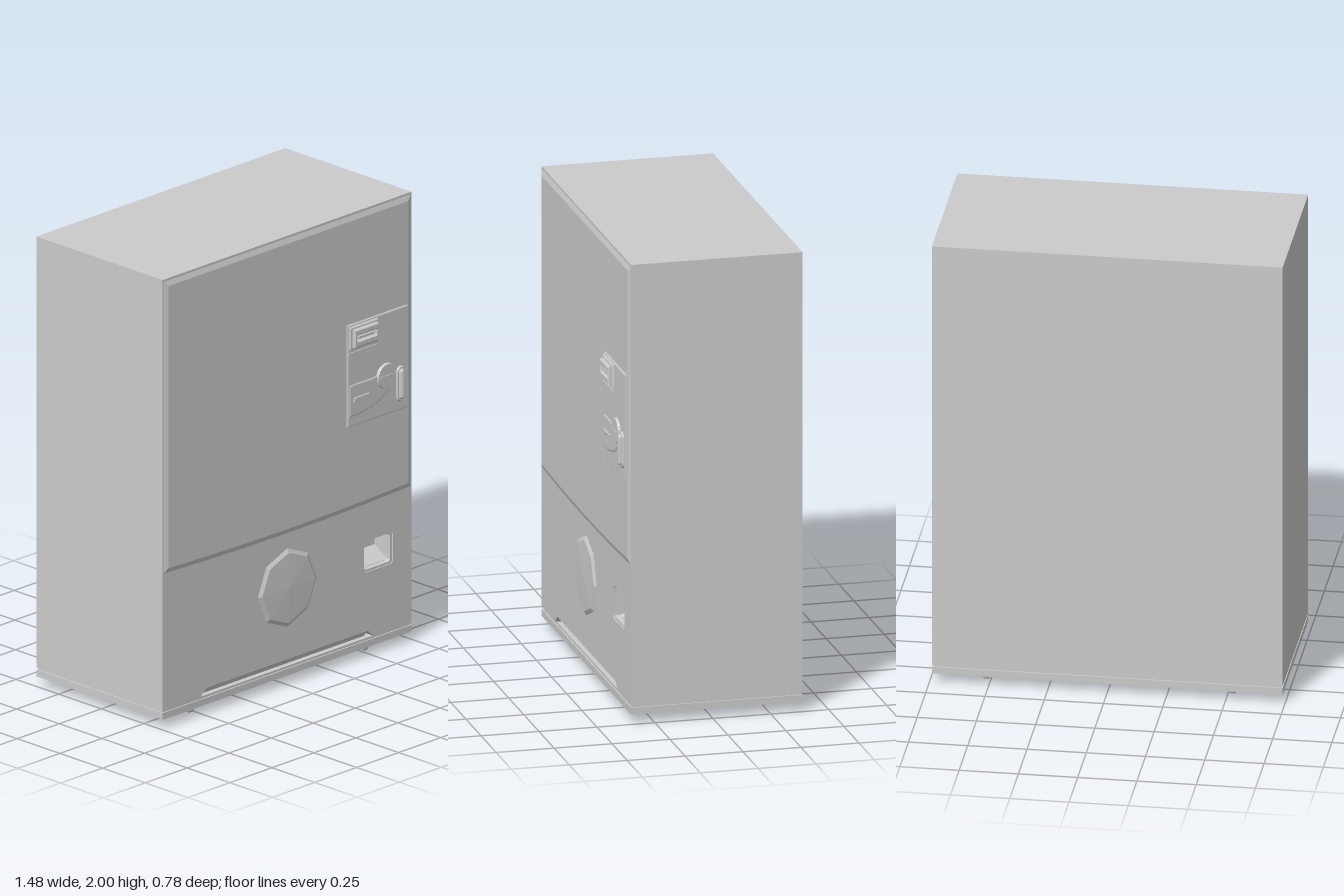
import * as THREE from 'three';

const grey = new THREE.MeshStandardMaterial({ color: 0xcccccc, flatShading: true });

function polygon(points) {
  return new THREE.Shape(points.map(([x, y]) => new THREE.Vector2(x, y)));
}

// Rectangle with rounded corners, given by its edges
function roundedRect(x0, y0, x1, y1, r, Type = THREE.Shape) {
  const s = new Type();
  s.absarc(x1 - r, y0 + r, r, -Math.PI / 2, 0);
  s.absarc(x1 - r, y1 - r, r, 0, Math.PI / 2);
  s.absarc(x0 + r, y1 - r, r, Math.PI / 2, Math.PI);
  s.absarc(x0 + r, y0 + r, r, Math.PI, Math.PI * 1.5);
  s.closePath();
  return s;
}

export function createModel() {
  const model = new THREE.Group();

  const add = (name, geometry, x = 0, y = 0, z = 0) => {
    const mesh = new THREE.Mesh(geometry, grey);
    mesh.name = name;
    mesh.position.set(x, y, z);
    model.add(mesh);
    return mesh;
  };
  const box = (name, x0, x1, y0, y1, z0, z1) =>
    add(name, new THREE.BoxGeometry(x1 - x0, y1 - y0, z1 - z0),
      (x0 + x1) / 2, (y0 + y1) / 2, (z0 + z1) / 2);
  // Plate from z0 to z1 whose front edge slopes inwards by "bevel"
  const plate = (name, shape, z0, z1, bevel = 0, rise = 0.006) =>
    add(name, new THREE.ExtrudeGeometry(shape, {
      depth: z1 - z0 - rise * (bevel ? 1 : 0), bevelEnabled: bevel > 0, bevelSize: bevel,
      bevelOffset: -bevel, bevelThickness: rise, bevelSegments: 1, curveSegments: 6,
    }), 0, 0, z0);

  // Cabinet: rear block and front wall with the coin opening and delivery notch
  const W = 0.74, back = -0.39, front = 0.35, wall = 0.24;
  box('cabinet', -W, W, 0.08, 2, back, wall);
  const frontShape = polygon([
    [-W, 0.08], [-0.515, 0.08], [-0.48, 0.112], [0.48, 0.112], [0.515, 0.08],
    [W, 0.08], [W, 2], [-W, 2],
  ]);
  frontShape.holes.push(roundedRect(0.45, 0.375, 0.63, 0.522, 0.018, THREE.Path));
  plate('frontWall', frontShape, wall, front);

  // Delivery notch back, sloping down and inwards
  const notch = polygon([[0.25, 0.08], [0.32, 0.08], [0.325, 0.095], [0.35, 0.112], [0.25, 0.112]]);
  const notchGeometry = new THREE.ExtrudeGeometry(notch, { depth: 0.98, bevelEnabled: false });
  notchGeometry.rotateY(-Math.PI / 2);
  add('deliveryFlap', notchGeometry, 0.49, 0, 0);

  // Coin return: rim and sloping chute
  const rim = roundedRect(0.45, 0.375, 0.63, 0.522, 0.018);
  rim.holes.push(roundedRect(0.463, 0.385, 0.617, 0.511, 0.012, THREE.Path));
  plate('coinReturnRim', rim, 0.32, 0.345);
  const chute = polygon([[0.24, 0.375], [0.32, 0.375], [0.32, 0.387], [0.24, 0.43]]);
  const chuteGeometry = new THREE.ExtrudeGeometry(chute, { depth: 0.18, bevelEnabled: false });
  chuteGeometry.rotateY(-Math.PI / 2);
  add('coinReturnChute', chuteGeometry, 0.63, 0, 0);

  // Plinth with a shadow gap above it, on four small feet
  box('plinth', -W, W, 0.04, 0.07, back, front);
  box('plinthGap', -W + 0.006, W - 0.006, 0.07, 0.08, back + 0.006, front - 0.006);
  for (const x of [-0.52, 0.52]) {
    for (const z of [-0.32, 0.29]) {
      add('foot', new THREE.SphereGeometry(0.02, 10, 8), x, 0.02, z);
      add('footStem', new THREE.CylinderGeometry(0.012, 0.012, 0.02, 10), x, 0.034, z);
    }
  }

  // Large display panel with a gently bowed lower edge
  const display = new THREE.Shape();
  display.moveTo(-0.735, 1.99);
  display.lineTo(-0.735, 0.69);
  display.quadraticCurveTo(0, 0.66, 0.735, 0.69);
  display.lineTo(0.735, 1.99);
  display.closePath();
  plate('displayPanel', display, 0.34, 0.358, 0.022, 0.008);

  // Eight-sided shallow dome on the lower door
  const dome = new THREE.LatheGeometry([
    new THREE.Vector2(0.18, -0.003), new THREE.Vector2(0.157, 0.01), new THREE.Vector2(0, 0.016),
  ], 8);
  dome.rotateX(Math.PI / 2);
  add('domeEmblem', dome, 0, 0.433, front);

  // Payment panel
  plate('paymentPanel', polygon([[0.345, 1.055], [0.705, 1.055], [0.705, 1.51], [0.345, 1.51]]),
    0.34, 0.365, 0.004, 0.003);
  box('panelRidge', 0.35, 0.522, 1.379, 1.386, 0.36, 0.369);

  // Banknote reader: stepped block with a framed slot
  plate('noteReaderBase', polygon([[0.352, 1.398], [0.522, 1.398], [0.522, 1.502], [0.352, 1.502]]),
    0.36, 0.373, 0.006);
  const reader = polygon([[0.366, 1.41], [0.508, 1.41], [0.508, 1.49], [0.366, 1.49]]);
  reader.holes.push(roundedRect(0.383, 1.438, 0.493, 1.462, 0.002, THREE.Path));
  plate('noteReader', reader, 0.365, 0.389, 0.005);
  box('noteSlotLip', 0.39, 0.486, 1.445, 1.455, 0.37, 0.383);

  // Flowing raised area around the coin entry
  const swoosh = new THREE.Shape();
  swoosh.moveTo(0.352, 1.24);
  swoosh.bezierCurveTo(0.43, 1.25, 0.47, 1.23, 0.53, 1.25);
  swoosh.lineTo(0.62, 1.23);
  swoosh.bezierCurveTo(0.6, 1.14, 0.52, 1.1, 0.352, 1.1);
  swoosh.closePath();
  plate('coinSurround', swoosh, 0.36, 0.369, 0.006, 0.003);
  plate('coinPointer', polygon([[0.375, 1.158], [0.47, 1.183], [0.375, 1.183]]),
    0.365, 0.374, 0.004, 0.003);

  // Coin dial and its bar
  const dial = new THREE.CylinderGeometry(0.052, 0.059, 0.016, 20);
  dial.rotateX(Math.PI / 2);
  add('coinDial', dial, 0.57, 1.23, 0.368);
  box('coinDialBar', 0.525, 0.615, 1.225, 1.235, 0.37, 0.379);

  // Upright oval return lever
  plate('leverSurround', roundedRect(0.632, 1.092, 0.682, 1.252, 0.0249), 0.36, 0.373, 0.005);
  plate('returnLever', roundedRect(0.642, 1.105, 0.672, 1.24, 0.0149), 0.36, 0.385, 0.008, 0.008);
  box('leverRib', 0.654, 0.66, 1.125, 1.22, 0.37, 0.388);

  return model;
}
